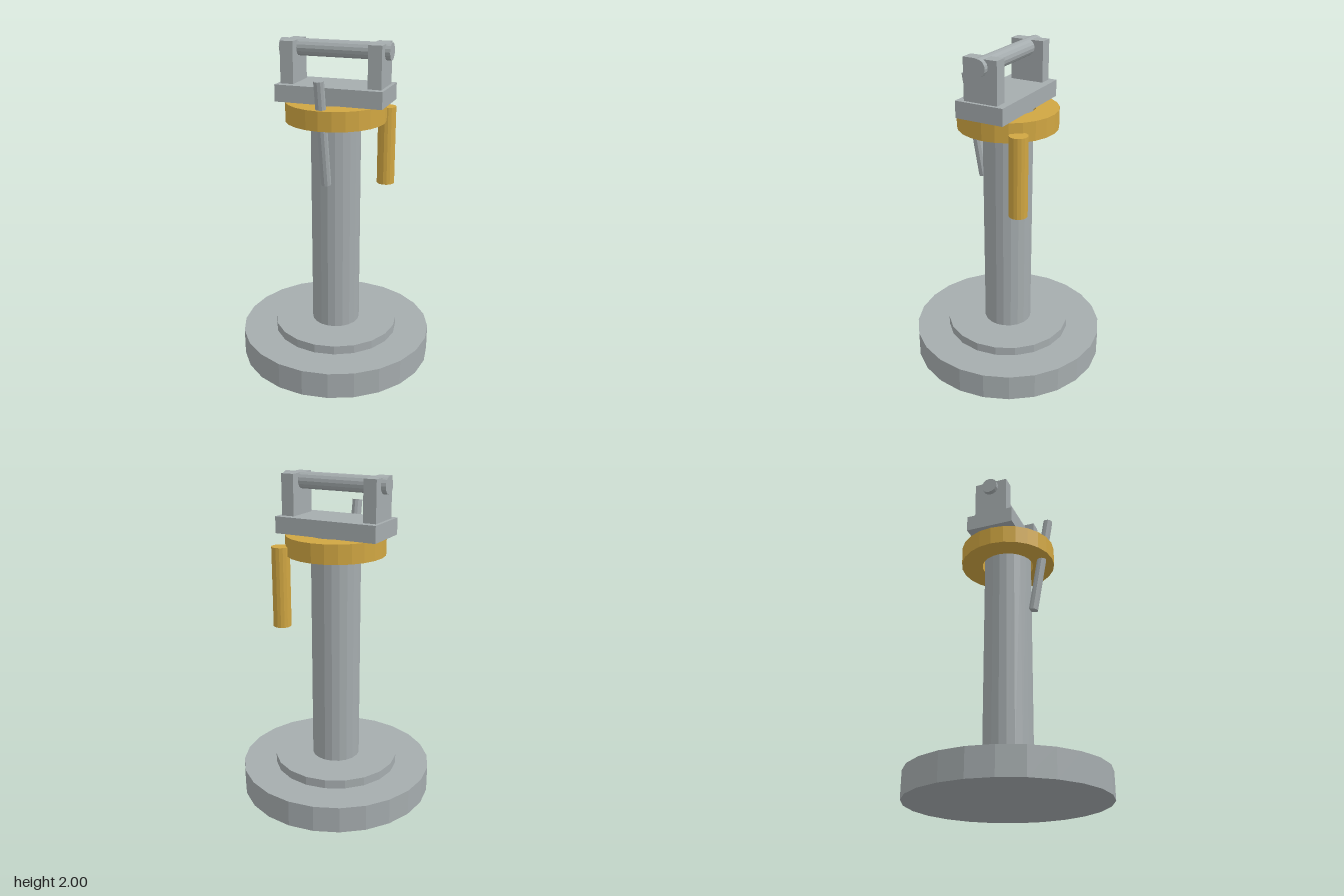
import * as THREE from 'three';

export function createModel() {
  const model = new THREE.Group();
  model.name = 'pedestalStand';

  const grey = new THREE.MeshStandardMaterial({ name: 'steel grey', color: 0xa5acae, flatShading: true });
  const gold = new THREE.MeshStandardMaterial({ name: 'ochre yellow', color: 0xd0a642, flatShading: true });

  const add = (name, geometry, material, x = 0, y = 0, z = 0) => {
    const mesh = new THREE.Mesh(geometry, material);
    mesh.name = name;
    mesh.position.set(x, y, z);
    model.add(mesh);
    return mesh;
  };
  // Upright cylinder given by its bottom and top heights
  const post = (name, r, y0, y1, sides, material, x = 0, z = 0) =>
    add(name, new THREE.CylinderGeometry(r, r, y1 - y0, sides), material, x, (y0 + y1) / 2, z);

  // Stepped base and column
  post('base', 0.6, 0, 0.165, 24, grey);
  post('baseStep', 0.39, 0.165, 0.22, 20, grey);
  post('column', 0.15, 0.22, 1.65, 20, grey);

  // Collar ring, slightly wider than the column
  const collarProfile = [[0.165, 1.535], [0.3, 1.535], [0.3, 1.65], [0.165, 1.65], [0.165, 1.535]]
    .map(([r, y]) => new THREE.Vector2(r, y));
  add('collar', new THREE.LatheGeometry(collarProfile, 24), gold);

  // Hanging grip at the back left of the collar
  post('grip', 0.055, 1.105, 1.59, 16, gold, 0.255, -0.21);

  // Leaning lever through the front of the collar
  const lever = add('lever', new THREE.CylinderGeometry(0.03, 0.03, 0.64, 10), grey, 0, 1.5, 0.225);
  lever.rotation.x = 0.174;

  // Top plate with two uprights carrying a cross bar
  add('topPlate', new THREE.BoxGeometry(0.65, 0.1, 0.3), grey, 0, 1.7, 0);
  for (const [name, side] of [['leftUpright', 1], ['rightUpright', -1]]) {
    add(name, new THREE.BoxGeometry(0.08, 0.244, 0.21), grey, side * 0.265, 1.872, 0);
  }
  const bar = add('crossBar', new THREE.CylinderGeometry(0.05, 0.05, 0.67, 16), grey, 0, 1.95, 0);
  bar.rotation.z = Math.PI / 2;

  return model;
}
